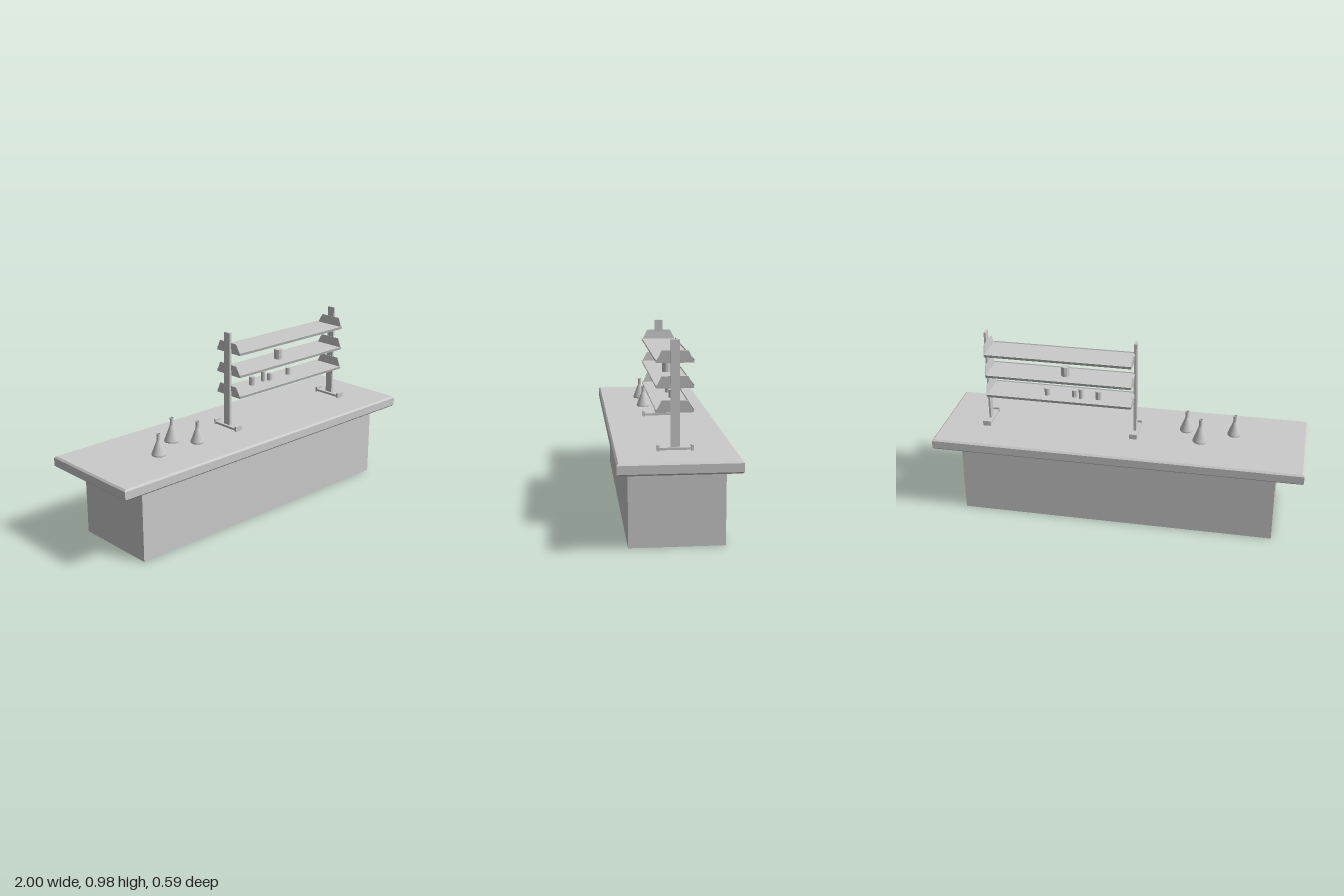
import * as THREE from 'three';

const material = new THREE.MeshStandardMaterial({ color: 0xcccccc });
const flatMaterial = new THREE.MeshStandardMaterial({ color: 0xcccccc, flatShading: true });
const smoothMaterial = new THREE.MeshStandardMaterial({ color: 0xcccccc, side: THREE.DoubleSide });

function add(parent, name, geometry, x = 0, y = 0, z = 0, mat = material) {
  const mesh = new THREE.Mesh(geometry, mat);
  mesh.name = name;
  mesh.position.set(x, y, z);
  parent.add(mesh);
  return mesh;
}

// Box given by its limits on each axis
function box(parent, name, [x0, x1], [y0, y1], [z0, z1]) {
  return add(parent, name, new THREE.BoxGeometry(x1 - x0, y1 - y0, z1 - z0),
    (x0 + x1) / 2, (y0 + y1) / 2, (z0 + z1) / 2);
}

function polygon(points) {
  return new THREE.Shape(points.map(([x, y]) => new THREE.Vector2(x, y)));
}

// Worktop slab with chamfered edges
function worktopGeometry(halfX, halfZ, height, bevel) {
  const a = halfX - bevel, b = halfZ - bevel;
  const geometry = new THREE.ExtrudeGeometry(polygon([[-a, -b], [a, -b], [a, b], [-a, b]]), {
    depth: height - 2 * bevel, bevelEnabled: true, bevelSegments: 1,
    bevelSize: bevel, bevelThickness: bevel,
  });
  geometry.translate(0, 0, bevel);
  geometry.rotateX(-Math.PI / 2);
  return geometry;
}

// Conical flask with an open neck
function flask(parent, x, z, radius, height) {
  const profile = [
    [0, 0], [radius * 0.95, 0], [radius, 0.003], [radius * 0.97, 0.009],
    [0.011, height * 0.66], [0.0095, height * 0.72], [0.0095, height * 0.96],
    [0.0115, height * 0.98], [0.0115, height], [0.008, height], [0.0075, height * 0.7], [0, height * 0.66],
  ].map(([r, y]) => new THREE.Vector2(r, y));
  add(parent, 'flask', new THREE.LatheGeometry(profile, 28), x, 0.453, z, smoothMaterial);
}

// Trapezoid end plate, standing across the shelf
function endPlateGeometry(thickness) {
  const shape = polygon([[-0.093, 0], [0.093, 0], [0.063, 0.06], [-0.063, 0.06]]);
  const geometry = new THREE.ExtrudeGeometry(shape, { depth: thickness, bevelEnabled: false });
  geometry.translate(0, 0, -thickness / 2);
  geometry.rotateY(Math.PI / 2);
  return geometry;
}

function shelf(parent, y) {
  const group = new THREE.Group();
  group.name = 'shelf';
  group.position.y = y;
  box(group, 'shelfBoard', [-0.06, 0.74], [0.003, 0.012], [-0.088, 0.088]);
  for (const side of [-1, 1]) {
    // Lip leaning out along the long edge
    const lip = add(group, 'shelfLip', new THREE.BoxGeometry(0.8, 0.016, 0.004), 0.34, 0.0085, side * 0.09);
    lip.rotation.x = side * 0.3;
    // End plate leaning slightly outward
    const plate = add(group, 'shelfEnd', endPlateGeometry(0.005), 0.34 + side * 0.4, 0, 0);
    plate.rotation.z = -side * 0.1;
  }
  parent.add(group);
}

// Upright post on a foot with raised ends
function stand(parent, x, width) {
  const group = new THREE.Group();
  group.name = 'stand';
  group.position.x = x;
  box(group, 'post', [-width / 2, width / 2], [0.46, 0.983], [-0.022, 0.022]);
  box(group, 'footBar', [-0.021, 0.021], [0.455, 0.467], [-0.08, 0.08]);
  for (const side of [-1, 1]) {
    add(group, 'footEnd', new THREE.BoxGeometry(0.043, 0.028, 0.012), 0, 0.464, side * 0.082);
  }
  parent.add(group);
}

export function createModel() {
  const model = new THREE.Group();
  model.name = 'labBench';

  // Bench
  box(model, 'cabinet', [-0.855, 0.855], [0, 0.392], [-0.235, 0.235]);
  add(model, 'worktop', worktopGeometry(1, 0.295, 0.06, 0.009), 0, 0.39, 0);

  // Flasks on the worktop
  flask(model, -0.607, 0.063, 0.038, 0.116);
  flask(model, -0.432, -0.042, 0.042, 0.131);
  flask(model, -0.345, 0.063, 0.038, 0.116);

  // Reagent rack
  const rack = new THREE.Group();
  rack.name = 'rack';
  model.add(rack);
  stand(rack, -0.07, 0.015);
  stand(rack, 0.752, 0.011);
  for (const y of [0.87, 0.748, 0.631]) shelf(rack, y);

  // Jars: x, z, radius, bottom, top
  const jars = [
    [0.131, -0.02, 0.017, 0.643, 0.69],
    [0.226, -0.028, 0.0125, 0.643, 0.698],
    [0.264, -0.016, 0.015, 0.643, 0.683],
    [0.416, -0.02, 0.015, 0.643, 0.683],
    [0.317, -0.003, 0.023, 0.76, 0.815],
  ];
  for (const [x, z, r, y0, y1] of jars) {
    add(rack, 'jar', new THREE.CylinderGeometry(r, r, y1 - y0, 10), x, (y0 + y1) / 2, z, flatMaterial);
  }
  return model;
}
